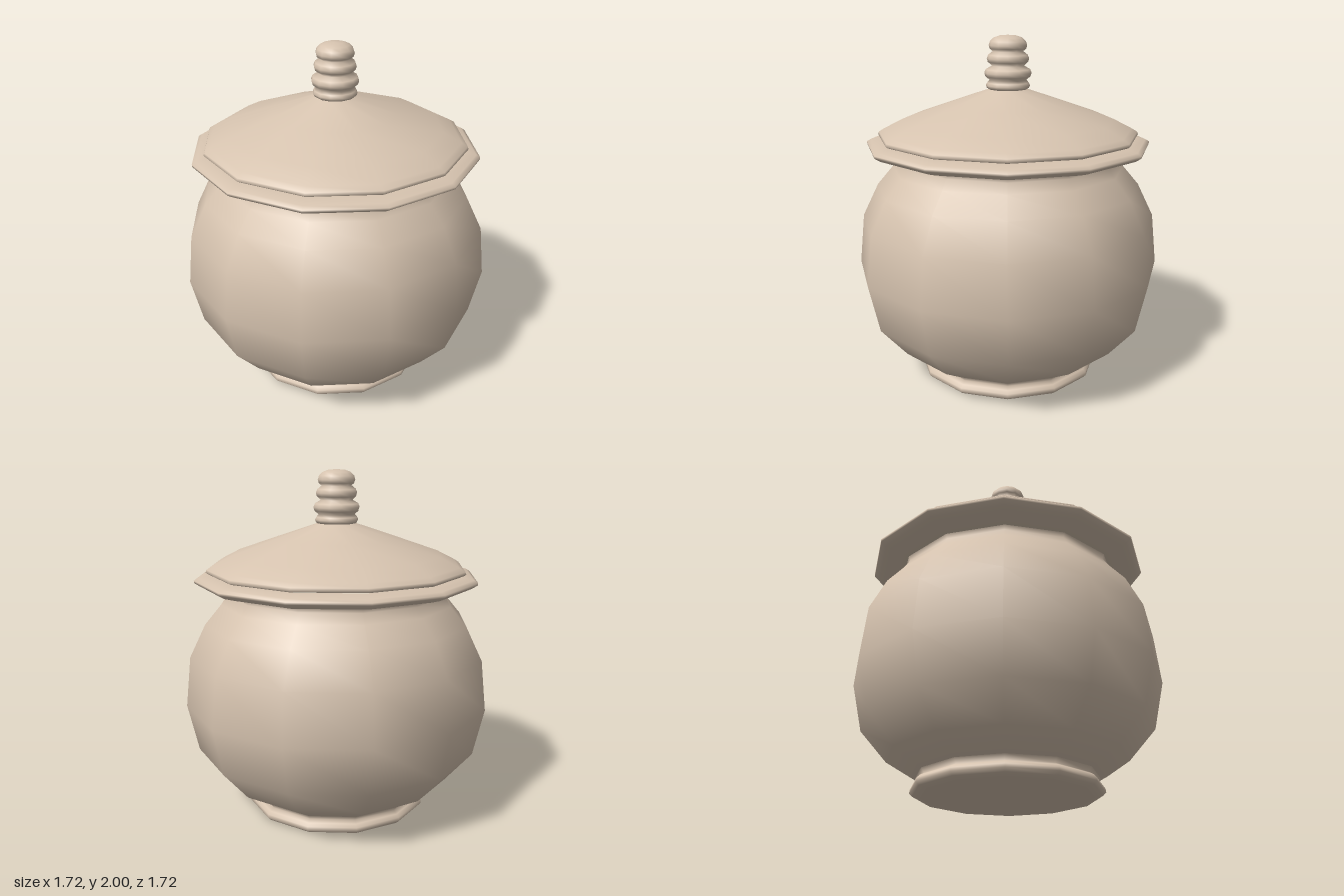
import * as THREE from 'three';

const SIDES = 12;

export function createModel() {
  const model = new THREE.Group();
  model.name = 'lidded jar';
  const clay = new THREE.MeshStandardMaterial({ color: 0xd6c3af });
  clay.name = 'pale clay';

  // Twelve-sided turned part; profile is [half width across flats, height], bottom to top
  const turn = (name, profile) => {
    const points = profile.map(([w, y]) => new THREE.Vector2(w / Math.cos(Math.PI / SIDES), y));
    const mesh = new THREE.Mesh(new THREE.LatheGeometry(points, SIDES, Math.PI / SIDES), clay);
    mesh.name = name;
    model.add(mesh);
  };

  // Flat underside and rounded foot ring
  turn('base', [[0, 0.005], [0.46, 0.005]]);
  turn('foot', [[0.46, 0.005], [0.5, 0.014], [0.517, 0.032], [0.514, 0.052], [0.498, 0.068], [0.475, 0.082], [0.492, 0.108]]);

  // Round belly and narrow neck
  turn('belly', [
    [0.492, 0.108], [0.65, 0.205], [0.8, 0.385], [0.86, 0.66], [0.83, 0.95],
    [0.74, 1.14], [0.65, 1.25], [0.615, 1.305], [0.625, 1.33],
  ]);

  // Flared rim
  turn('rim', [[0.625, 1.33], [0.7, 1.342], [0.76, 1.36], [0.79, 1.38], [0.792, 1.394], [0.77, 1.408], [0.72, 1.418], [0.68, 1.42]]);

  // Conical lid with a rolled edge
  turn('lidUnderside', [[0.66, 1.42], [0.715, 1.428]]);
  turn('lid', [[0.715, 1.428], [0.727, 1.437], [0.722, 1.452], [0.69, 1.472], [0.59, 1.525], [0.35, 1.612], [0.115, 1.695], [0.09, 1.71]]);

  // Knob made of stacked rings, ending in a dome
  const rings = [[1.69, 1.75, 0.122], [1.75, 1.83, 0.13], [1.83, 1.91, 0.116]];
  const knob = [];
  for (const [low, high, w] of rings) {
    const h = high - low;
    knob.push([w - 0.028, low], [w - 0.006, low + h * 0.25], [w, low + h * 0.5], [w - 0.008, low + h * 0.75]);
  }
  knob.push([0.084, 1.91], [0.1, 1.925], [0.105, 1.943], [0.098, 1.965], [0.078, 1.985], [0.045, 1.997], [0, 2]);
  turn('knob', knob);

  return model;
}
